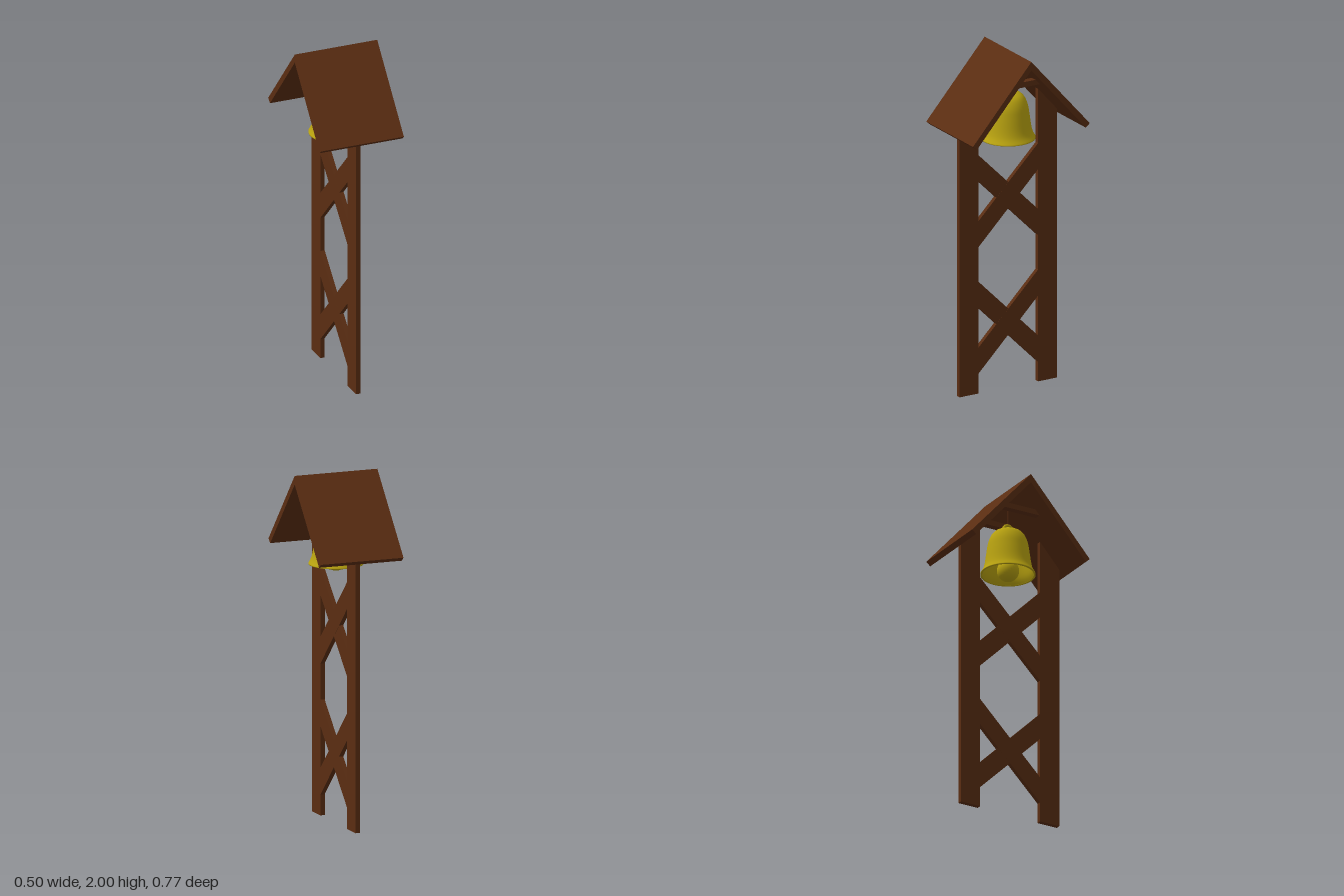
import * as THREE from 'three';

const wood = new THREE.MeshStandardMaterial({ color: 0x5a2d12 });
const brass = new THREE.MeshStandardMaterial({ color: 0xb8a210 });
const brassOpen = new THREE.MeshStandardMaterial({ color: 0xb8a210, side: THREE.DoubleSide });

// Plank outlined by [z, y] points and running from x0 to x1
function plank(name, points, x0, x1) {
  const shape = new THREE.Shape(points.map(([z, y]) => new THREE.Vector2(-z, y)));
  const geo = new THREE.ExtrudeGeometry(shape, { depth: x1 - x0, bevelEnabled: false });
  geo.rotateY(Math.PI / 2).translate(x0, 0, 0);
  const mesh = new THREE.Mesh(geo, wood);
  mesh.name = name;
  return mesh;
}

function part(name, geo, material, y) {
  const mesh = new THREE.Mesh(geo, material);
  mesh.name = name;
  mesh.position.y = y;
  return mesh;
}

export function createModel() {
  const model = new THREE.Group();
  model.name = 'bellTower';

  // Posts with tops cut to the roof pitch
  model.add(
    plank('frontPost', [[0.2, 0], [0.325, 0], [0.325, 1.585], [0.2, 1.73]], -0.015, 0.012),
    plank('backPost', [[-0.19, 0], [-0.315, 0], [-0.315, 1.595], [-0.19, 1.74]], -0.015, 0.012),
  );

  // Two crossed pairs of braces, ends buried in the posts
  for (const [name, y] of [['upperBrace', 1.14], ['lowerBrace', 0.39]]) {
    for (const s of [1, -1]) {
      const brace = part(name, new THREE.BoxGeometry(0.025 + s * 0.0006, 0.109, 0.7), wood, y);
      brace.position.x = -0.0015;
      brace.position.z = 0.005;
      brace.rotation.x = s * Math.PI / 4;
      model.add(brace);
    }
  }

  // Roof panels meeting at the ridge
  for (const s of [1, -1]) {
    model.add(plank('roofPanel',
      [[0, 2], [s * 0.383, 1.567], [s * 0.357, 1.545], [0, 1.95]], -0.25, 0.25));
  }

  // Collar ties under the ridge
  for (const x of [0.125, -0.125]) {
    model.add(plank('collarTie',
      [[-0.125, 1.815], [0.125, 1.815], [0.105, 1.846], [-0.105, 1.846]], x - 0.02, x + 0.02));
  }

  // Hollow bell with flared lip
  const bell = new THREE.Group();
  bell.name = 'bell';
  const profile = new THREE.SplineCurve([
    [0, 1.755], [0.045, 1.75], [0.085, 1.727], [0.109, 1.68], [0.12, 1.62],
    [0.13, 1.55], [0.14, 1.51], [0.155, 1.482],
  ].map(([r, y]) => new THREE.Vector2(r, y))).getPoints(28).reverse();
  profile[profile.length - 1].x = 0;
  profile.unshift(new THREE.Vector2(0.145, 1.478), new THREE.Vector2(0.155, 1.478));
  bell.add(part('bellBody', new THREE.LatheGeometry(profile, 40), brassOpen, 0));
  bell.add(part('clapper', new THREE.SphereGeometry(0.063, 28, 18), brass, 1.502));

  // Hanging loop and rod
  const loop = part('hangingLoop', new THREE.TorusGeometry(0.029, 0.01, 12, 28), brass, 1.75);
  loop.rotation.y = Math.PI / 2;
  bell.add(loop);
  bell.add(part('hangingRod', new THREE.CylinderGeometry(0.004, 0.004, 0.19, 8), wood, 1.87));
  model.add(bell);

  return model;
}
